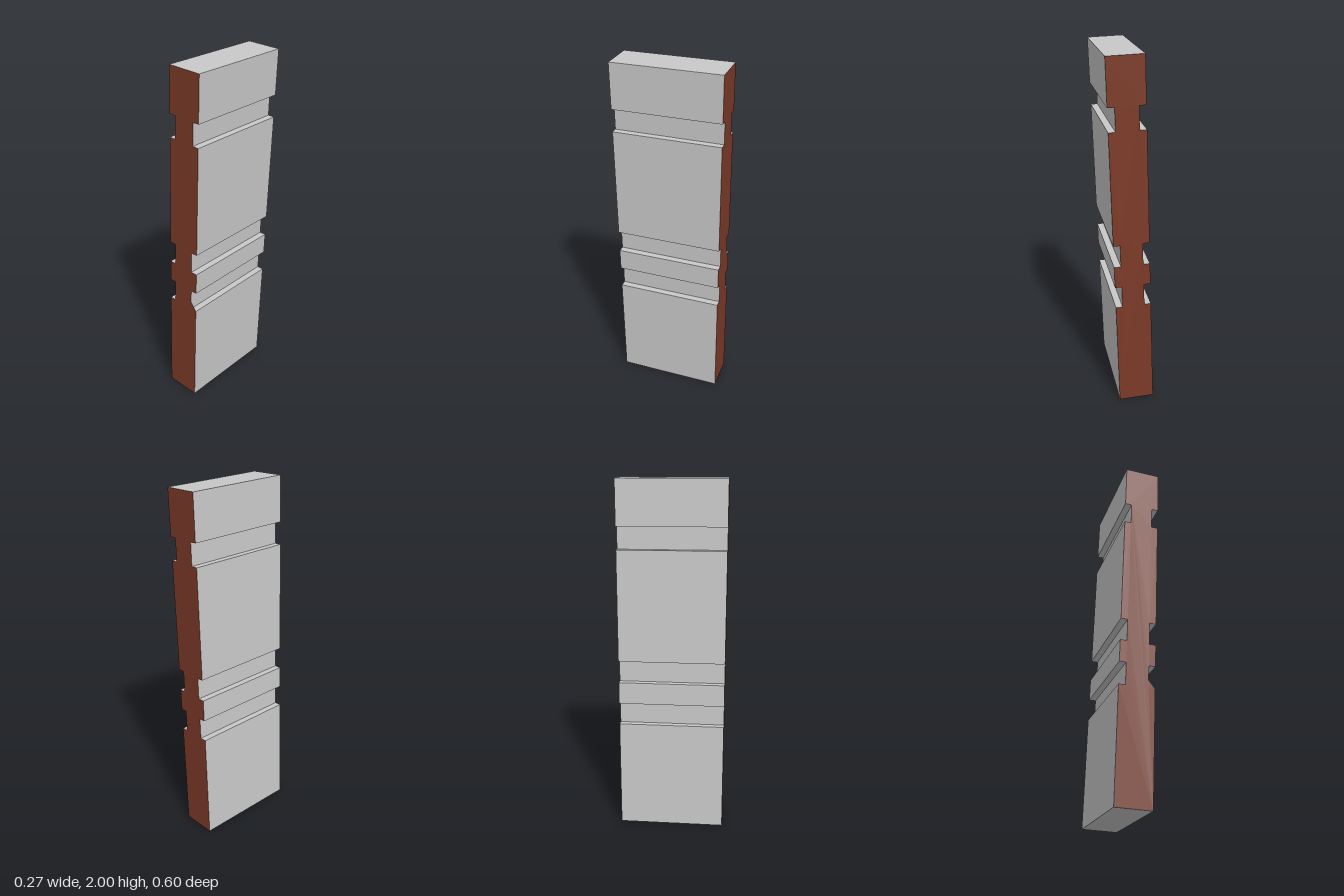
import * as THREE from 'three';

export function createModel() {
  const group = new THREE.Group();
  const brown = new THREE.MeshStandardMaterial({ color: 0x7c3a27 });
  brown.name = 'brown end face';
  const grey = new THREE.MeshStandardMaterial({ color: 0xc8c8c8 });
  grey.name = 'light grey';

  const height = 1.992, unit = height / 16, half = 0.0985, cut = 0.037, depth = 0.597;
  const level = (n) => n * unit - height / 2;

  // right edge going up, with three square grooves
  const edge = [[half, level(0)]];
  for (const [lo, hi] of [[5, 6], [7, 8], [13, 14]]) {
    edge.push([half, level(lo)], [half - cut, level(lo)], [half - cut, level(hi)], [half, level(hi)]);
  }
  edge.push([half, level(16)]);

  // mirror the edge to close the profile
  const mirrored = edge.map(([x, y]) => [-x, y]).reverse();
  const toShape = (pts) => new THREE.Shape(pts.map(([x, y]) => new THREE.Vector2(x, y)));
  const bodyGeo = new THREE.ExtrudeGeometry(toShape([...edge, ...mirrored]), { depth, bevelEnabled: false });
  bodyGeo.translate(0, 0, -depth / 2);

  const body = new THREE.Mesh(bodyGeo, [brown, grey]);
  body.name = 'groovedPost';

  // small slanted web filling the corner of the lowest right groove at the front
  const webGeo = new THREE.ShapeGeometry(toShape([
    [half - cut, level(5)], [half, level(5)], [half - cut, level(5) + 0.045],
  ]));
  const web = new THREE.Mesh(webGeo, brown);
  web.name = 'grooveCornerWeb';
  web.position.z = depth / 2;

  // slight lean of the whole post
  const post = new THREE.Group();
  post.name = 'leaningPost';
  post.add(body, web);
  post.rotation.set(-0.0033, 0, -0.037);
  post.position.y = 1;
  group.add(post);
  return group;
}
